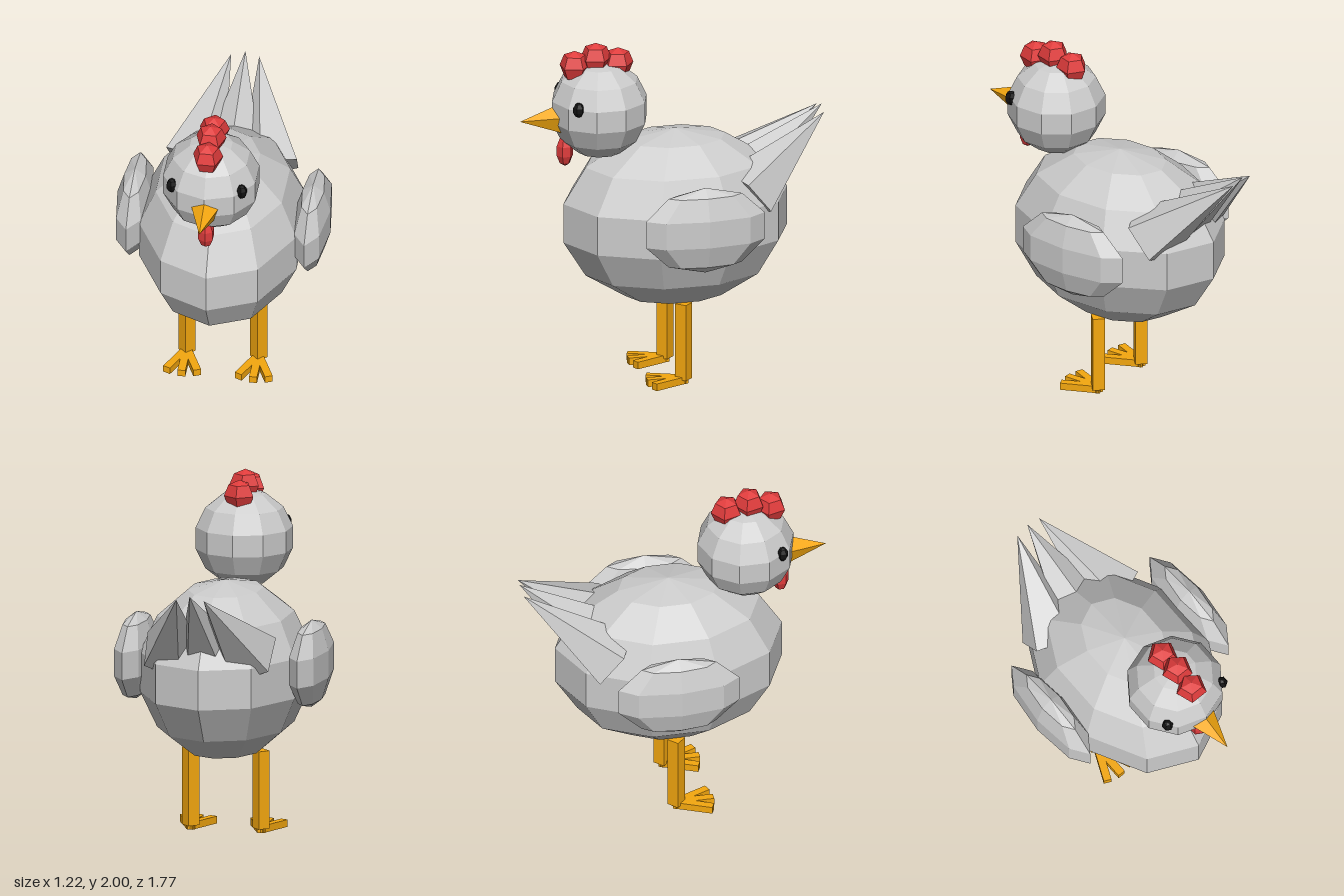
import * as THREE from 'three';

const paint = (color) => new THREE.MeshStandardMaterial({ color, flatShading: true });

export function createModel() {
  const model = new THREE.Group();
  const feather = paint(0xcccccc);
  const red = paint(0xe03c3c);
  const yellow = paint(0xf5a80f);
  const black = paint(0x111111);

  const add = (name, geometry, material, parent = model) => {
    const mesh = new THREE.Mesh(geometry, material);
    mesh.name = name;
    parent.add(mesh);
    return mesh;
  };

  // Faceted ellipsoid with a corner column on the z axis
  const blob = (name, material, radii, position, columns, rows) => {
    const geometry = new THREE.SphereGeometry(1, columns, rows)
      .rotateY(-Math.PI / 2).scale(...radii);
    const mesh = add(name, geometry, material);
    mesh.position.set(...position);
    return mesh;
  };

  // Body and head
  blob('body', feather, [0.485, 0.515, 0.672], [0, 0.94, -0.025], 10, 7);
  blob('head', feather, [0.284, 0.281, 0.284], [0, 1.608, 0.42], 10, 7);

  // Comb and wattle
  [[1.872, 0.565], [1.91, 0.44], [1.872, 0.31]].forEach(([y, z], i) =>
    blob(`comb${i + 1}`, red, [0.09, 0.09, 0.09], [0, y, z], 5, 4));
  blob('wattle', red, [0.05, 0.092, 0.05], [0, 1.375, 0.622], 6, 5);

  // Beak
  const beak = add('beak', new THREE.ConeGeometry(0.09, 0.24, 5).rotateY(Math.PI), yellow);
  beak.rotation.x = Math.PI / 2;
  beak.position.set(0, 1.567, 0.765);

  // Tail feathers: base centres spread sideways, tips leaning together
  const length = 0.645;
  [-1, 0, 1].forEach((side) => {
    const cone = new THREE.ConeGeometry(0.185, length, 5).translate(0, length / 2, 0);
    const tail = add(['tailRight', 'tailMiddle', 'tailLeft'][side + 1], cone, feather);
    tail.rotation.set(-0.85, 0, side * 0.34, 'ZYX');
    tail.position.set(side * 0.222, 1.1, side ? -0.392 : -0.4);
  });

  // Paired parts
  [1, -1].forEach((side) => {
    const suffix = side > 0 ? 'Left' : 'Right';
    blob('wing' + suffix, feather, [0.105, 0.252, 0.366], [side * 0.51, 1.002, -0.065], 8, 5);
    blob('eye' + suffix, black, [0.033, 0.044, 0.034], [side * 0.2, 1.675, 0.595], 6, 5);

    // Four-sided leg with three splayed toes
    const leg = new THREE.Group();
    leg.name = 'leg' + suffix;
    leg.position.set(side * 0.205, 0, -0.02);
    model.add(leg);
    add('shank', new THREE.CylinderGeometry(0.05, 0.05, 0.45, 4), yellow, leg).position.y = 0.25;
    [-0.42, 0, 0.42].forEach((angle, i) => {
      const toe = new THREE.BoxGeometry(0.045, 0.042, 0.23).translate(0, 0.021, 0.1);
      add(`toe${i + 1}`, toe, yellow, leg).rotation.y = angle;
    });
  });

  return model;
}
